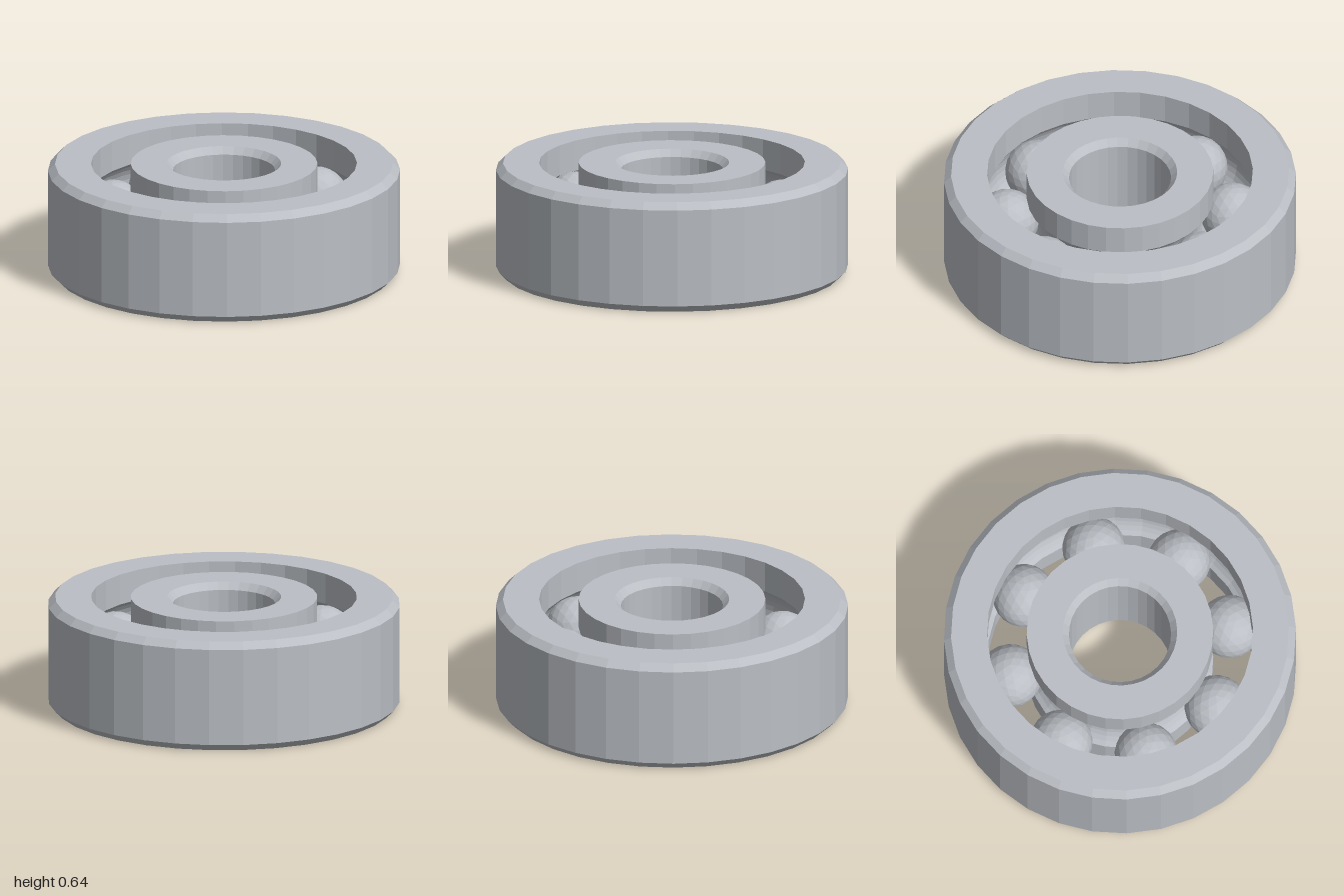
import * as THREE from 'three';

const HEIGHT = 0.64, MID = HEIGHT / 2, BEVEL = 0.04;
const TRACK = 0.64, BALL_RADIUS = 0.18, GROOVE_RADIUS = 0.184;
const BALLS = 8, SIDES = 32, GROOVE_STEPS = 10;

const steel = new THREE.MeshStandardMaterial({ color: 0xbbbfc5 });
steel.name = 'steel';

// Gives every facet its own flat normal
function faceted(geometry) {
  const flat = geometry.index ? geometry.toNonIndexed() : geometry;
  flat.computeVertexNormals();
  return flat;
}

// Ball groove cut into a wall of the given radius; dir is +1 upwards, -1 downwards
function groove(wallRadius, dir) {
  const offset = wallRadius - TRACK;
  const side = Math.sign(offset);
  const half = Math.acos(Math.abs(offset) / GROOVE_RADIUS);
  const points = [];
  for (let i = 0; i <= GROOVE_STEPS; i++) {
    const a = dir * half * (2 * i / GROOVE_STEPS - 1);
    points.push([TRACK + side * GROOVE_RADIUS * Math.cos(a), MID + GROOVE_RADIUS * Math.sin(a)]);
  }
  return points;
}

// Turns a closed profile of [radius, y] points, listed anticlockwise
function ring(name, profile) {
  const points = [...profile, profile[0]].map(([r, y]) => new THREE.Vector2(r, y));
  const mesh = new THREE.Mesh(faceted(new THREE.LatheGeometry(points, SIDES)), steel);
  mesh.name = name;
  return mesh;
}

export function createModel() {
  const model = new THREE.Group();
  model.name = 'ballBearing';

  // Outer ring: bevelled outside, grooved inside
  model.add(ring('outerRing', [
    [0.755, 0], [1 - BEVEL, 0], [1, BEVEL], [1, HEIGHT - BEVEL], [1 - BEVEL, HEIGHT],
    [0.755, HEIGHT], ...groove(0.755, -1),
  ]));

  // Inner ring: grooved outside, bevelled bore
  model.add(ring('innerRing', [
    [0.325, 0], [0.53, 0], ...groove(0.53, 1), [0.53, HEIGHT], [0.325, HEIGHT],
    [0.29, HEIGHT - BEVEL], [0.29, BEVEL],
  ]));

  // Balls, spaced evenly around the track, each with a corner pointing up
  const ballGeometry = new THREE.IcosahedronGeometry(BALL_RADIUS, 3);
  ballGeometry.rotateZ(-Math.atan(2 / (1 + Math.sqrt(5))));
  const flatBall = faceted(ballGeometry);
  const balls = new THREE.Group();
  balls.name = 'balls';
  for (let i = 0; i < BALLS; i++) {
    const a = (i / BALLS) * Math.PI * 2;
    const ball = new THREE.Mesh(flatBall, steel);
    ball.name = 'ball';
    ball.position.set(TRACK * Math.sin(a), MID, TRACK * Math.cos(a));
    ball.rotation.y = a;
    balls.add(ball);
  }
  model.add(balls);

  return model;
}
